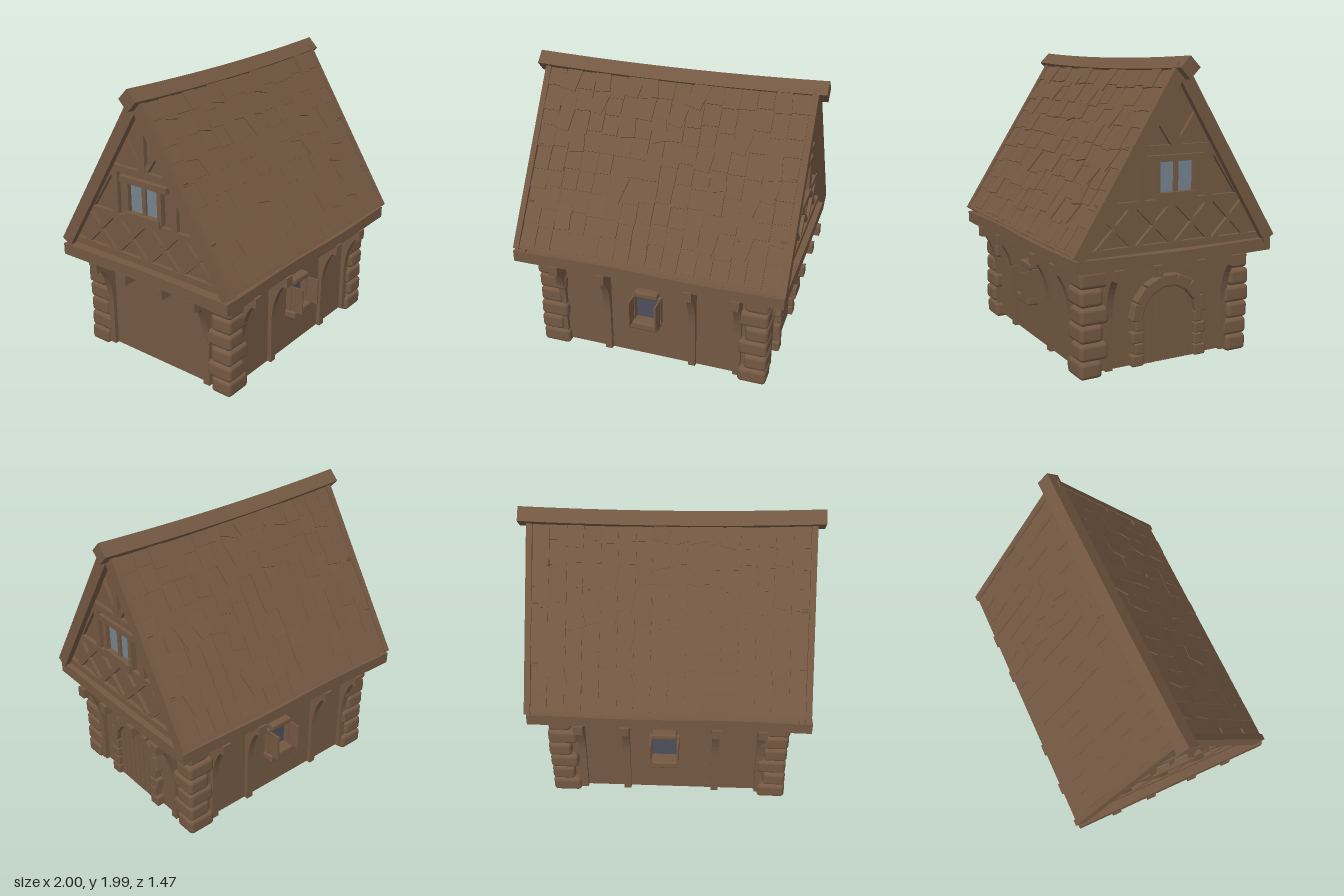
import * as THREE from 'three';
import { mergeGeometries } from 'three/addons/utils/BufferGeometryUtils.js';
import { RoundedBoxGeometry } from 'three/addons/geometries/RoundedBoxGeometry.js';

const mat = (name, color, side = THREE.FrontSide) => {
  const m = new THREE.MeshStandardMaterial({ color, side });
  m.name = name;
  return m;
};
const brown = mat('weathered brown', 0x735842, THREE.DoubleSide);
const darkGlass = mat('dark glass', 0x4d4f5b, THREE.DoubleSide);
const paleGlass = mat('pale glass', 0x75838f, THREE.DoubleSide);

// Seeded random numbers in 0..1
let seed = 7;
const rnd = () => (seed = (seed * 16807) % 2147483647) / 2147483647;

function add(parent, name, geometry, x = 0, y = 0, z = 0, material = brown) {
  const m = new THREE.Mesh(geometry, material);
  m.name = name;
  m.position.set(x, y, z);
  parent.add(m);
  return m;
}
const box = (parent, name, w, h, d, x, y, z, material) =>
  add(parent, name, new THREE.BoxGeometry(w, h, d), x, y, z, material);

// Flat bar on a wall; u runs to the right as seen from outside, out is away from the wall
function bar(parent, name, out, u1, y1, u2, y2, width, thick = 0.03) {
  const m = box(parent, name, thick, Math.hypot(u2 - u1, y2 - y1), width, out, (y1 + y2) / 2, -(u1 + u2) / 2);
  m.rotation.x = Math.atan2(-(u2 - u1), y2 - y1);
  return m;
}

// Upright post that flares outward under the joist
function postGeometry() {
  const s = new THREE.Shape();
  s.moveTo(0, 0.03);
  s.lineTo(0.03, 0.03);
  s.lineTo(0.03, 0.38);
  s.quadraticCurveTo(0.04, 0.56, 0.13, 0.66);
  s.lineTo(0, 0.66);
  s.closePath();
  return new THREE.ExtrudeGeometry(s, { depth: 0.05, bevelEnabled: false, curveSegments: 8 });
}

// One wall facing local +x, with posts and joist ends
function wallSide(name, angle, dist, half, posts, joists, reach, hasWindow) {
  const g = new THREE.Group();
  g.name = name;
  g.rotation.y = angle;
  const s = new THREE.Shape([[-half, 0.03], [half, 0.03], [half, 0.72], [-half, 0.72]].map(p => new THREE.Vector2(...p)));
  if (hasWindow) s.holes.push(new THREE.Path([[-0.11, 0.34], [-0.11, 0.53], [0.06, 0.53], [0.06, 0.34]].map(p => new THREE.Vector2(...p))));
  add(g, 'wall', new THREE.ShapeGeometry(s), dist).rotation.y = Math.PI / 2;
  for (const u of posts) add(g, 'post', postGeometry(), dist, 0, -u - 0.025);
  for (const u of joists) box(g, 'joistEnd', reach - dist + 0.04, 0.07, 0.065, (reach + dist - 0.04) / 2, 0.675, -u);
  if (hasWindow) {
    box(g, 'windowGlass', 0.006, 0.2, 0.18, dist - 0.01, 0.435, 0.025, darkGlass);
    add(g, 'windowSill', new RoundedBoxGeometry(0.1, 0.06, 0.21, 2, 0.015), dist + 0.03, 0.31, 0.035);
    add(g, 'windowLintel', new RoundedBoxGeometry(0.08, 0.045, 0.17, 2, 0.012), dist + 0.02, 0.553, 0.025);
    for (const u of [-0.12, 0.07]) {
      box(g, 'windowJamb', 0.05, 0.2, 0.022, dist + 0.015, 0.435, -u);
      box(g, 'shutter', 0.11, 0.19, 0.012, dist + 0.075, 0.43, -u);
    }
  }
  return g;
}

// Planked door in a round stone arch, on a wall facing local +x
function doorway(parent, dist) {
  const g = new THREE.Group();
  g.name = 'doorway';
  parent.add(g);
  const r = 0.2, spring = 0.33, n = 7;
  for (let i = 0; i < n; i++) {
    const z = -r + (i + 0.5) * (2 * r / n);
    const top = spring + Math.sqrt(r * r - z * z) + 0.02;
    box(g, 'doorPlank', 0.03, top - 0.03, 2 * r / n - 0.006, dist + 0.006, (top + 0.03) / 2, z);
    const a = (i + 0.5) / n * Math.PI;
    const st = add(g, 'archStone', new RoundedBoxGeometry(0.08, 0.08, 0.115, 2, 0.01),
      dist + 0.015, spring + Math.sin(a) * 0.236, Math.cos(a) * 0.236);
    st.rotation.x = Math.PI / 2 - a;
  }
  for (const side of [-1, 1]) for (let i = 0; i < 4; i++) {
    const w = i % 2 ? 0.06 : 0.085;
    add(g, 'jambStone', new RoundedBoxGeometry(0.08, 0.074, w, 2, 0.01), dist + 0.015, 0.07 + i * 0.076, side * (0.192 + w / 2));
  }
}

// Half-timbered gable facing local +x
function gable(name, angle) {
  const g = new THREE.Group();
  g.name = name;
  g.rotation.y = angle;
  const d = 0.87, o = d + 0.01;
  const s = new THREE.Shape([[-0.71, 0.78], [0.71, 0.78], [0.69, 0.83], [0, 1.91], [-0.69, 0.83]].map(p => new THREE.Vector2(...p)));
  add(g, 'gableWall', new THREE.ShapeGeometry(s), d).rotation.y = Math.PI / 2;
  bar(g, 'bottomRail', o, -0.68, 0.81, 0.68, 0.81, 0.045, 0.04);
  bar(g, 'middleRail', o, -0.55, 1.085, 0.55, 1.085, 0.045, 0.04);
  bar(g, 'upperRail', o, -0.34, 1.42, 0.34, 1.42, 0.045, 0.04);
  bar(g, 'kingPost', o, 0, 1.42, 0, 1.88, 0.045, 0.04);
  for (const u of [-0.42, -0.14, 0.14, 0.42]) {
    bar(g, 'crossBrace', o, u - 0.13, 0.82, u + 0.13, 1.08, 0.035);
    bar(g, 'crossBrace', o - 0.003, u + 0.13, 0.82, u - 0.13, 1.08, 0.035);
  }
  for (const k of [-1, 1]) {
    bar(g, 'stud', o, k * 0.25, 1.09, k * 0.25, 1.42, 0.05, 0.035);
    bar(g, 'windowJamb', o + 0.005, k * 0.14, 1.12, k * 0.14, 1.37, 0.035, 0.045);
    bar(g, 'upperBrace', o, k * 0.01, 1.43, k * 0.16, 1.65, 0.035);
    bar(g, 'lowerBrace', o, k * 0.48, 1.1, k * 0.27, 1.41, 0.035);
    box(g, 'gableGlass', 0.006, 0.2, 0.11, d + 0.006, 1.245, k * 0.07, paleGlass);
  }
  bar(g, 'mullion', o, 0, 1.14, 0, 1.35, 0.03);
  bar(g, 'gableSill', o + 0.01, -0.145, 1.125, 0.145, 1.125, 0.05, 0.06);
  bar(g, 'gableLintel', o + 0.005, -0.2, 1.36, 0.2, 1.36, 0.04, 0.045);
  return g;
}

// One roof slope: local y runs up the slope, local z is its outward normal
function roofSlope(name, turn) {
  const g = new THREE.Group();
  g.name = name;
  g.rotation.y = turn;
  const slope = new THREE.Group();
  slope.position.set(0, 0.82, 0.705);
  slope.rotation.x = -Math.atan2(0.705, 1.12);
  g.add(slope);
  const len = 1.3;
  box(slope, 'roofDeck', 1.86, len, 0.03, 0, len / 2, -0.015);
  box(slope, 'eavesBoard', 1.86, 0.05, 0.045, 0, 0.01, -0.012);
  for (const k of [-1, 1]) box(slope, 'bargeBoard', 0.04, len + 0.03, 0.085, k * 0.928, len / 2 - 0.005, -0.02);
  const parts = [], rows = 9, cols = 16;
  for (let r = 0; r < rows; r++) for (let c = 0; c < cols; c++) {
    const loose = rnd() < 0.22 && r > 0 && c > 0 && c < cols - 1;
    const geo = new THREE.BoxGeometry(0.1 + rnd() * 0.02, 0.16 + rnd() * 0.02, 0.01);
    geo.rotateX(-0.05 - rnd() * 0.03);
    geo.rotateZ(loose ? (rnd() - 0.5) * 0.6 : 0);
    geo.translate(-0.85 + c * 1.7 / (cols - 1), 0.095 + r * 0.138 + (r ? (rnd() - 0.5) * 0.05 : 0),
      0.004 + (loose ? 0.012 : rnd() * 0.005));
    parts.push(geo);
  }
  add(slope, 'shingles', mergeGeometries(parts));
  return g;
}

export function createModel() {
  const model = new THREE.Group();
  model.name = 'cottage';

  // Ground-floor walls
  const front = [-0.66, -0.32, 0.3, 0.62], back = [-0.6, -0.29, 0.33, 0.64];
  const ends = [-0.43, 0.43], endJoists = [-0.43, -0.16, 0.16, 0.43];
  const right = wallSide('doorWall', 0, 0.79, 0.58, ends, endJoists, 0.965, false);
  doorway(right, 0.79);
  model.add(right,
    wallSide('frontWall', -Math.PI / 2, 0.58, 0.79, front, front, 0.73, true),
    wallSide('endWall', Math.PI, 0.79, 0.58, ends, endJoists, 0.965, false),
    wallSide('backWall', Math.PI / 2, 0.58, 0.79, back, back, 0.73, true));

  // Alternating corner stones
  for (const sx of [-1, 1]) for (const sz of [-1, 1]) for (let i = 0; i < 6; i++) {
    const w = (i % 2 ? 0.155 : 0.195) + rnd() * 0.01, d = (i % 2 ? 0.195 : 0.155) + rnd() * 0.01;
    const j = rnd() * 0.012;
    add(model, 'cornerStone', new RoundedBoxGeometry(w, 0.113, d, 3, 0.028),
      sx * (0.835 - j - w / 2), 0.0565 + i * 0.115, sz * (0.638 - j - d / 2));
  }

  // Upper floor with its slightly uneven edge beams
  const floor = new THREE.BoxGeometry(1.9, 0.08, 1.43, 16, 1, 12);
  const p = floor.attributes.position;
  for (let i = 0; i < p.count; i++) p.setY(i, p.getY(i) + 0.006 * Math.sin(p.getX(i) * 5 + p.getZ(i) * 4));
  floor.computeVertexNormals();
  add(model, 'floorBeam', floor, -0.01, 0.745, 0);

  // Gables and roof
  model.add(gable('rightGable', 0), gable('leftGable', Math.PI));
  model.add(roofSlope('frontRoof', 0), roofSlope('backRoof', Math.PI));

  // Sagging ridge beam set on its edge
  const ridge = new THREE.BoxGeometry(2, 0.1, 0.1, 14, 1, 1);
  ridge.rotateX(Math.PI / 4);
  const q = ridge.attributes.position;
  for (let i = 0; i < q.count; i++) {
    const x = q.getX(i);
    q.setY(i, q.getY(i) + 0.022 * x * x - 0.004 * x);
    q.setZ(i, q.getZ(i) - 0.012 * (x + 1));
  }
  ridge.computeVertexNormals();
  add(model, 'ridgeBeam', ridge, 0, 1.892, 0);
  return model;
}
